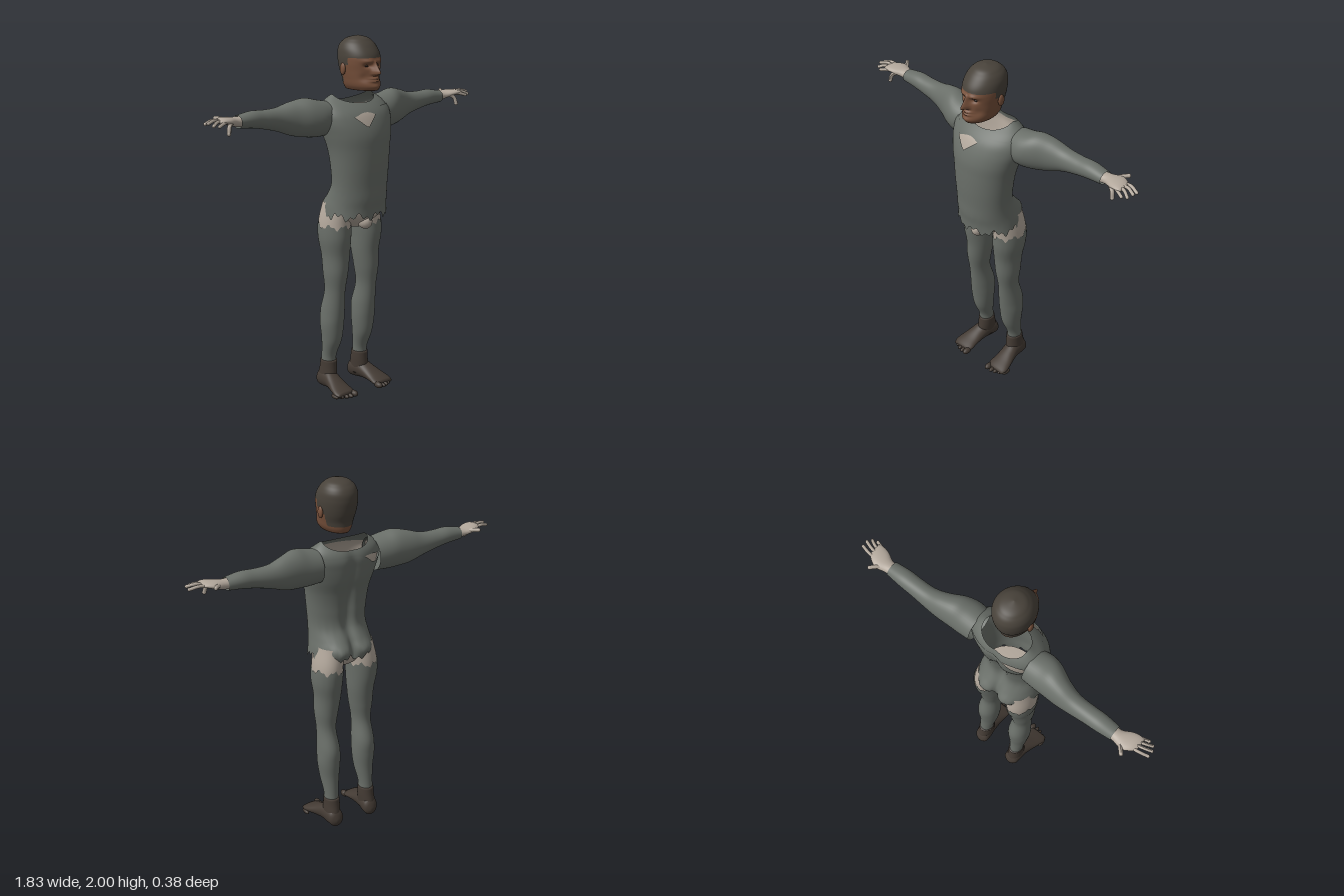
import * as THREE from 'three';
import { mergeGeometries } from 'three/addons/utils/BufferGeometryUtils.js';

const flat = (name, color, side = THREE.FrontSide) => {
  const m = new THREE.MeshStandardMaterial({ color, side });
  m.name = name;
  return m;
};
const cloth = flat('grey cloth', 0x6a6f69, THREE.DoubleSide);
const skin = flat('pale skin', 0xb3a89c, THREE.DoubleSide);
const face = flat('brown face', 0x78513b, THREE.DoubleSide);
const hair = flat('dark hair', 0x48423a, THREE.DoubleSide);
const shoe = flat('dark foot', 0x443b34);
const eye = flat('dark eye', 0x33261f);

const bump = (d, w) => Math.exp(-(d * d) / (w * w));
const clamp = THREE.MathUtils.clamp;

// Lofts ellipses along an axis. Each key is [t, v centre, v half, u centre, u half]:
// axis y: v = x, u = z; axis x: v = z, u = y; axis z: v = y, u = x.
function loft(axis, keys, o = {}) {
  const { rows = 30, seg = 40, grow = 0, warp, caps = false } = o;
  const lo = o.lo ?? (() => keys[0][0]);
  const hi = o.hi ?? (() => keys[keys.length - 1][0]);
  const spline = new THREE.CubicInterpolant(keys.map(k => k[0]), keys.flatMap(k => k.slice(1)), 4, new Float32Array(4));
  const pos = [], idx = [], p = new THREE.Vector3();
  const order = { y: (v, t, u) => p.set(v, t, u), x: (v, t, u) => p.set(t, u, v), z: (v, t, u) => p.set(u, v, t) }[axis];
  for (let i = 0; i <= rows; i++) {
    for (let j = 0; j < seg; j++) {
      const a = (j / seg) * Math.PI * 2;
      const t = THREE.MathUtils.lerp(lo(a), hi(a), i / rows);
      const [vc, vh, uc, uh] = spline.evaluate(t);
      order(vc + (vh + grow) * Math.sin(a), t, uc + (uh + grow) * Math.cos(a));
      if (warp) warp(p, a);
      pos.push(p.x, p.y, p.z);
      if (i < rows) {
        const b = i * seg + j, c = i * seg + (j + 1) % seg;
        idx.push(b, c, b + seg, c, c + seg, b + seg);
      }
    }
  }
  // Close the ends with fans
  if (caps) for (const row of [0, rows]) {
    const mid = [0, 0, 0], n = pos.length / 3;
    for (let j = 0; j < seg; j++) for (let k = 0; k < 3; k++) mid[k] += pos[(row * seg + j) * 3 + k] / seg;
    pos.push(...mid);
    for (let j = 0; j < seg; j++) {
      const b = row * seg + j, c = row * seg + (j + 1) % seg;
      row ? idx.push(b, c, n) : idx.push(c, b, n);
    }
  }
  const g = new THREE.BufferGeometry();
  g.setAttribute('position', new THREE.Float32BufferAttribute(pos, 3));
  g.setIndex(idx);
  g.computeVertexNormals();
  return g;
}

function mirrored(geo) {
  const g = geo.clone().scale(-1, 1, 1), ix = g.index.array;
  for (let i = 0; i < ix.length; i += 3) [ix[i], ix[i + 1]] = [ix[i + 1], ix[i]];
  g.computeVertexNormals();
  return g;
}

function ball(x, y, z, rx, ry, rz) {
  return new THREE.SphereGeometry(1, 18, 12).scale(rx, ry, rz).translate(x, y, z);
}

// Bent digit with a rounded tip
function digit(points, r) {
  const pts = points.map(q => new THREE.Vector3(...q)), tip = pts[pts.length - 1];
  const tube = new THREE.TubeGeometry(new THREE.CatmullRomCurve3(pts), 8, r, 8);
  return mergeGeometries([tube, ball(tip.x, tip.y, tip.z, r, r, r)]);
}

// Head surface with sculpted face, split into hair and face
function headGeometry() {
  const g = loft('y', [
    [1.718, 0, .066, .045, .11], [1.74, 0, .08, .045, .118], [1.78, 0, .09, .038, .117], [1.82, 0, .098, .028, .121],
    [1.86, 0, .104, .024, .125], [1.9, 0, .105, .02, .124], [1.94, 0, .097, .011, .108], [1.97, 0, .077, .008, .082],
    [1.99, 0, .046, .01, .048], [1.9995, 0, .004, .014, .004]], {
    rows: 84, seg: 120, caps: true,
    warp(p, a) {
      const c = Math.cos(a);
      if (c < 0) return;
      const ax = Math.abs(p.x), y = p.y;
      const nose = .046 * clamp((1.88 - y) / .06, 0, 1) * THREE.MathUtils.smoothstep(y, 1.793, 1.81);
      p.z += nose * bump(ax, .006 + .01 * clamp((1.87 - y) / .05, 0, 1))
        + .01 * bump(y - 1.871, .012) * bump(ax - .035, .03)
        - .016 * bump(y - 1.848, .012) * bump(ax - .036, .018)
        + .012 * bump(ax, .025) * (bump(y - 1.782, .006) + bump(y - 1.768, .006))
        + .007 * bump(ax, .03) * bump(y - 1.738, .014)
        - .008 * bump(ax - .055, .02) * bump(y - 1.785, .022);
    } });
  const P = g.attributes.position, ix = g.index.array, parts = [[], []];
  for (let i = 0; i < ix.length; i += 3) {
    const t = [ix[i], ix[i + 1], ix[i + 2]];
    const y = t.reduce((s, k) => s + P.getY(k) / 3, 0), z = t.reduce((s, k) => s + P.getZ(k) / 3, 0);
    const line = z > .05 ? 1.888 : z > -.01 ? 1.82 + (z > .03 ? .03 : 0) : 1.755;
    parts[y > line ? 1 : 0].push(...t);
  }
  g.setIndex(parts.flat());
  g.addGroup(0, parts[0].length, 0);
  g.addGroup(parts[0].length, parts[1].length, 1);
  return g;
}

export function createModel() {
  const root = new THREE.Group();
  root.name = 'figure';
  const add = (name, geo, mat) => {
    const m = new THREE.Mesh(geo, mat);
    m.name = name;
    root.add(m);
  };
  const pair = (name, geo, mat) => {
    add(name + 'Left', geo, mat);
    add(name + 'Right', mirrored(geo), mat);
  };

  // Head
  add('head', headGeometry(), [face, hair]);
  pair('ear', ball(.104, 1.828, .012, .011, .032, .02).rotateY(0), face);
  pair('eye', ball(.036, 1.847, .124, .012, .006, .008), eye);

  // Torso layers share one set of sections
  const trunk = [
    [1.02, 0, .185, -.008, .155], [1.08, 0, .178, -.012, .163], [1.13, 0, .17, .004, .154], [1.2, 0, .165, .025, .135],
    [1.3, 0, .172, .028, .137], [1.4, 0, .185, .02, .145], [1.48, 0, .205, .006, .154], [1.55, 0, .222, -.01, .148],
    [1.6, 0, .224, -.025, .135], [1.64, 0, .205, -.038, .108], [1.67, 0, .168, -.045, .075], [1.69, 0, .138, -.045, .047]];
  const bodyWarp = (p, a) => {
    const back = Math.max(0, -Math.cos(a)), ax = Math.abs(p.x);
    p.z += back * (.03 * bump(ax, .035) * bump(p.y - 1.3, .3) - .022 * bump(ax - .095, .05) * bump(p.y - 1.08, .045)
      + .02 * bump(ax, .02) * bump(p.y - 1.07, .05));
  };
  const neckline = a => {
    const x = .2 * Math.sin(a);
    return Math.cos(a) > 0 ? 1.622 - .097 * clamp(1 - Math.abs(x + .035) / .1, 0, 1)
      : 1.62 - .065 * bump(x + .13, .06);
  };
  const hem = a => 1.038 + .014 * Math.sin(9 * a) + .012 * Math.sin(23 * a + 1);
  add('tunic', loft('y', trunk, { rows: 60, seg: 120, lo: hem, hi: neckline, warp: bodyWarp }), cloth);
  add('yoke', loft('y', trunk, {
    rows: 24, seg: 96, grow: -.005, warp: bodyWarp,
    lo: a => Math.cos(a) > 0 ? 1.56 + .04 * bump(Math.sin(a) + .1, .4) : 1.57 + .035 * bump(Math.sin(a) + .45, .5),
    hi: a => 1.645 + .045 * Math.sin(a) ** 2
  }), cloth);
  add('chest', loft('y', trunk, { rows: 12, seg: 72, grow: -.009, lo: () => 1.47, hi: () => 1.615, warp: bodyWarp }), skin);

  // Sleeves
  pair('sleeve', loft('x', [
    [.17, -.052, .092, 1.568, .09], [.24, -.052, .096, 1.572, .099], [.3, -.062, .088, 1.58, .104],
    [.38, -.083, .069, 1.58, .09], [.46, -.094, .055, 1.583, .064], [.55, -.095, .05, 1.592, .05],
    [.62, -.095, .049, 1.6, .045], [.71, -.094, .041, 1.597, .034]], { rows: 40 }), cloth);

  // Hands with spread digits
  const palm = loft('x', [
    [.69, -.094, .034, 1.597, .028], [.73, -.097, .036, 1.6, .025], [.78, -.092, .054, 1.61, .02],
    [.82, -.08, .048, 1.615, .015], [.845, -.072, .036, 1.614, .009]], { rows: 16, seg: 24, caps: true });
  pair('palm', palm, skin);
  [
    [[.82, 1.613, -.108], [.86, 1.618, -.105], [.905, 1.607, -.092]],
    [[.82, 1.615, -.085], [.865, 1.622, -.077], [.905, 1.613, -.062]],
    [[.82, 1.613, -.065], [.86, 1.616, -.053], [.892, 1.602, -.036]],
    [[.8, 1.61, -.05], [.835, 1.607, -.036], [.865, 1.598, -.025]],
    [[.765, 1.605, -.06], [.793, 1.585, -.045], [.802, 1.552, -.038]],
    [[.75, 1.606, -.115], [.778, 1.615, -.145], [.797, 1.617, -.166]]
  ].forEach((pts, i) => pair('finger' + (i + 1), digit(pts, i > 3 ? .011 : .009), skin));

  // Legs: torn leggings over bare thighs
  const leg = [
    [.15, .115, .04, -.108, .045], [.2, .115, .04, -.104, .044], [.3, .113, .053, -.082, .062], [.4, .114, .063, -.077, .073],
    [.47, .113, .061, -.073, .077], [.6, .114, .052, -.05, .066], [.7, .112, .064, -.047, .078], [.8, .107, .072, -.052, .088],
    [.9, .111, .082, -.055, .104], [.99, .107, .084, -.057, .108], [1.1, .088, .084, -.04, .11]];
  pair('legging', loft('y', leg, {
    rows: 60, seg: 60, lo: () => .165, hi: a => .972 + .012 * Math.sin(7 * a) + .008 * Math.sin(17 * a)
  }), cloth);
  pair('thigh', loft('y', leg, { rows: 12, grow: -.005, lo: () => .9, hi: () => 1.1 }), skin);
  add('pelvis', loft('y', [
    [.955, 0, .03, -.02, .04], [.98, 0, .07, -.02, .08], [1.02, 0, .13, -.01, .12], [1.1, 0, .16, -.005, .13]],
  { rows: 16, caps: true }), skin);
  add('groin', ball(0, .997, .07, .036, .044, .05), skin);

  // Feet: ankle, foot and toes
  pair('ankle', loft('y', [
    [.04, .118, .043, -.118, .06], [.09, .117, .044, -.112, .062], [.13, .115, .044, -.109, .056], [.175, .115, .043, -.107, .05]],
  { rows: 12, caps: true }), shoe);
  pair('foot', loft('z', [
    [-.186, .045, .015, .115, .015], [-.175, .05, .04, .115, .035], [-.14, .06, .056, .117, .046], [-.08, .062, .052, .123, .047],
    [-.03, .05, .04, .131, .052], [.02, .036, .029, .138, .06], [.06, .026, .021, .14, .064], [.085, .021, .014, .14, .056]],
  { rows: 30, caps: true }), shoe);
  for (let i = 0; i < 5; i++) {
    const r = i ? .0125 : .018;
    pair('toe' + (i + 1), ball(.092 + i * .025 + (i ? .004 : 0), r, .086 - i * i * .0025, r, r, .03), shoe);
  }
  return root;
}
